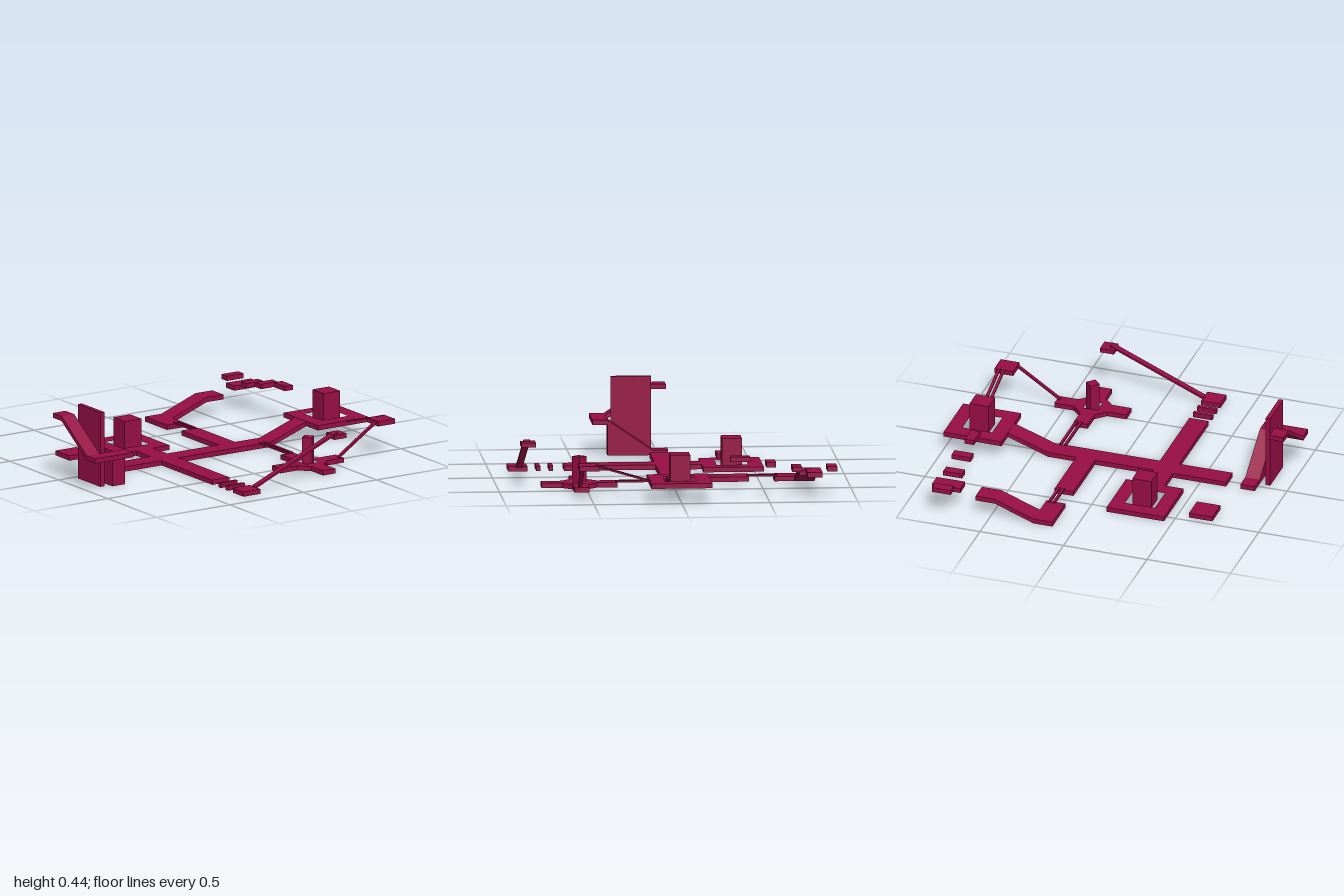
import * as THREE from 'three';

const T = 0.028; // slab thickness

export function createModel() {
  const root = new THREE.Group();
  root.name = 'obstacleCourse';
  const crimson = new THREE.MeshStandardMaterial({ color: 0x960e44 });
  crimson.name = 'crimson';

  const add = (name, geo) => {
    const m = new THREE.Mesh(geo, crimson);
    m.name = name;
    root.add(m);
    return m;
  };

  // Box given by its limits on each axis
  const box = (name, x0, x1, y0, y1, z0, z1) =>
    add(name, new THREE.BoxGeometry(x1 - x0, y1 - y0, z1 - z0)
      .translate((x0 + x1) / 2, (y0 + y1) / 2, (z0 + z1) / 2));

  const extrude = (pts, depth, hole) => {
    const s = new THREE.Shape(pts.map(p => new THREE.Vector2(...p)));
    if (hole) s.holes.push(new THREE.Path(hole.map(p => new THREE.Vector2(...p))));
    return new THREE.ExtrudeGeometry(s, { depth, bevelEnabled: false });
  };

  // Plank following its top line, running along x between z limits
  const outline = (top, t) => [...top.map(([a, y]) => [a, y - t]), ...[...top].reverse()];
  const plankX = (name, top, t, z0, z1) =>
    add(name, extrude(outline(top, t), z1 - z0).translate(0, 0, z0));
  // Side profile (z, y) running between x limits
  const profileZ = (name, pts, x0, x1) =>
    add(name, extrude(pts, x1 - x0).rotateY(-Math.PI / 2).translate(x1, 0, 0));
  const plankZ = (name, top, t, x0, x1) => profileZ(name, outline(top, t), x0, x1);

  // Flat plate from a plan outline (x, z)
  const plate = (name, pts, y0, hole) =>
    add(name, extrude(pts.map(([x, z]) => [x, -z]), T, hole && hole.map(([x, z]) => [x, -z]))
      .rotateX(-Math.PI / 2).translate(0, y0, 0));
  const square = (cx, cz, r) =>
    [[cx - r, cz - r], [cx + r, cz - r], [cx + r, cz + r], [cx - r, cz + r]];

  // Main walkway, rising to the right platform
  plankX('mainWalkway', [[-0.655, T], [0.41, T], [0.655, 0.115]], T, -0.06, 0.055);
  box('crossWalkwayFront', -0.335, -0.22, 0, T, 0.055, 0.575);
  box('crossWalkwayBack', -0.335, -0.22, 0, T, -0.21, -0.06);
  box('backWalkway', 0.13, 0.243, 0, T, -0.44, -0.06);

  // Square ring platforms with pillars
  for (const [cx, cz, r, y, h] of [[-0.278, -0.38, 0.172, 0, 0.175], [0.825, 0, 0.174, 0.115 - T, 0.26]]) {
    plate('ringPlatform', square(cx, cz, r), y, square(cx, cz, 0.089));
    box('ringPillar', cx - 0.057, cx + 0.057, y, h, cz - 0.057, cz + 0.057);
  }
  box('cornerPad', -0.71, -0.57, 0, T, -0.465, -0.323);

  // Back path with a ramp
  box('backCorner', 0.13, 0.243, 0, T, -0.7, -0.585);
  plankX('backRamp', [[0.13, T], [0.243, T], [0.475, 0.115], [0.59, 0.115]], T, -0.813, -0.7);

  // Front stepping stones and pad
  for (const [z0, z1] of [[0.637, 0.66], [0.71, 0.733], [0.783, 0.893]])
    box('frontStep', -0.335, -0.22, 0, T, z0, z1);

  // Narrow beam to the raised pad
  plankX('narrowBeam', [[-0.225, 0.032], [0.335, 0.273]], 0.012, 0.812, 0.85);
  box('raisedPad', 0.302, 0.386, 0.234, 0.26, 0.783, 0.866);

  // Cross platform with chamfered corners and diamond pillar
  const cx = 0.344, cz = 0.534, a = 0.042, b = 0.1, L = 0.216;
  const quarter = [[L, -a], [L, a], [b, a], [a, b]];
  const cross = [];
  for (let i = 0; i < 4; i++) {
    const c = Math.round(Math.cos(i * Math.PI / 2)), s = Math.round(Math.sin(i * Math.PI / 2));
    for (const [x, z] of quarter) cross.push([cx + c * x - s * z, cz + s * x + c * z]);
  }
  plate('crossPlatform', cross, 0, square(cx, cz, 0.042));
  box('diamondPillar', -0.029, 0.029, 0, 0.175, -0.029, 0.029)
    .position.set(cx, 0, cz);
  root.children[root.children.length - 1].rotation.y = Math.PI / 4;

  // Beam and rails to the small high pad
  box('highPad', 0.797, 0.91, 0.205 - T, 0.205, 0.462, 0.575);
  plankX('sideBeam', [[0.54, 0.032], [0.8, 0.205]], 0.012, 0.535, 0.556);
  const rails = (name, x, top) => {
    for (const o of [0, 0.028]) plankZ(name, top, 0.009, x + o, x + o + 0.016);
  };
  rails('highRail', 0.848, [[0.165, 0.115], [0.48, 0.208]]);
  rails('frontRail', 0.336, [[0.045, 0.035], [0.33, 0.035]]);
  rails('backRail', 0.184, [[-0.6, 0.035], [-0.43, 0.035]]);

  // Floating steps
  for (const [x0, x1, top, z0, z1] of [
    [0.738, 0.793, 0.23, -0.405, -0.293],
    [0.71, 0.823, 0.202, -0.55, -0.495],
    [0.71, 0.823, 0.174, -0.697, -0.643],
    [0.682, 0.852, 0.146, -0.812, -0.727],
    [0.71, 0.823, 0.174, -0.898, -0.842],
  ]) box('floatingStep', x0, x1, top - T, top, z0, z1);

  // Switchback ramp tower
  box('dividerWall', -0.889, -0.862, 0, 0.435, 0.03, 0.26);
  box('middleLanding', -1, -0.74, 0.205 - T, 0.205, 0.287, 0.373);
  plankZ('upperRamp', [[-0.058, 0.38], [0.03, 0.38], [0.287, 0.205]], T, -1, -0.914);
  profileZ('lowerRamp',
    [[-0.058, 0], [0.287, 0], [0.287, 0.205], [0.03, T], [-0.058, T]], -0.826, -0.74);

  return root;
}
